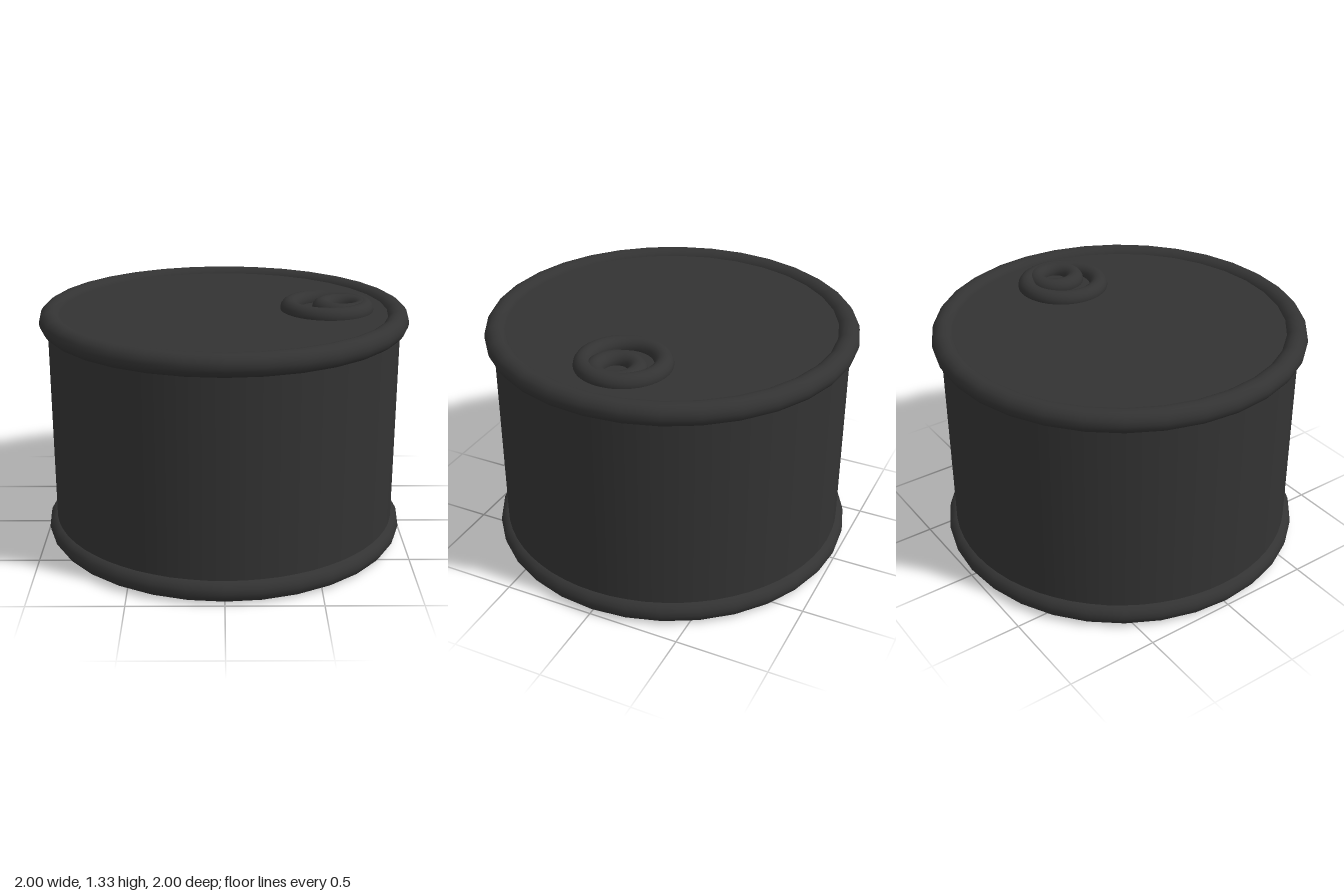
import * as THREE from 'three';

export function createModel() {
  const group = new THREE.Group();
  const material = new THREE.MeshStandardMaterial({ color: 0x333333 });

  function add(name, geometry, x, y, z) {
    const mesh = new THREE.Mesh(geometry, material);
    mesh.name = name;
    mesh.position.set(x, y, z);
    group.add(mesh);
  }

  // Horizontal ring lying in the xz plane
  function addRing(name, radius, tube, sides, x, y) {
    const geometry = new THREE.TorusGeometry(radius, tube, 16, sides);
    geometry.rotateX(-Math.PI / 2);
    add(name, geometry, x, y, 0);
  }

  // Can wall with its lid and base, set slightly inside the rims
  add('body', new THREE.CylinderGeometry(0.955, 0.955, 1.236, 64), 0, 0.65, 0);

  // Rolled rims
  addRing('bottomRim', 0.94, 0.06, 32, 0, 0.06);
  addRing('topRim', 0.94, 0.06, 32, 0, 1.24);

  // Pull tab, half sunk into the lid
  addRing('pullRing', 0.203, 0.05, 48, 0.56, 1.275);
  addRing('pullRivet', 0.11, 0.05, 48, 0.64, 1.275);

  return group;
}
